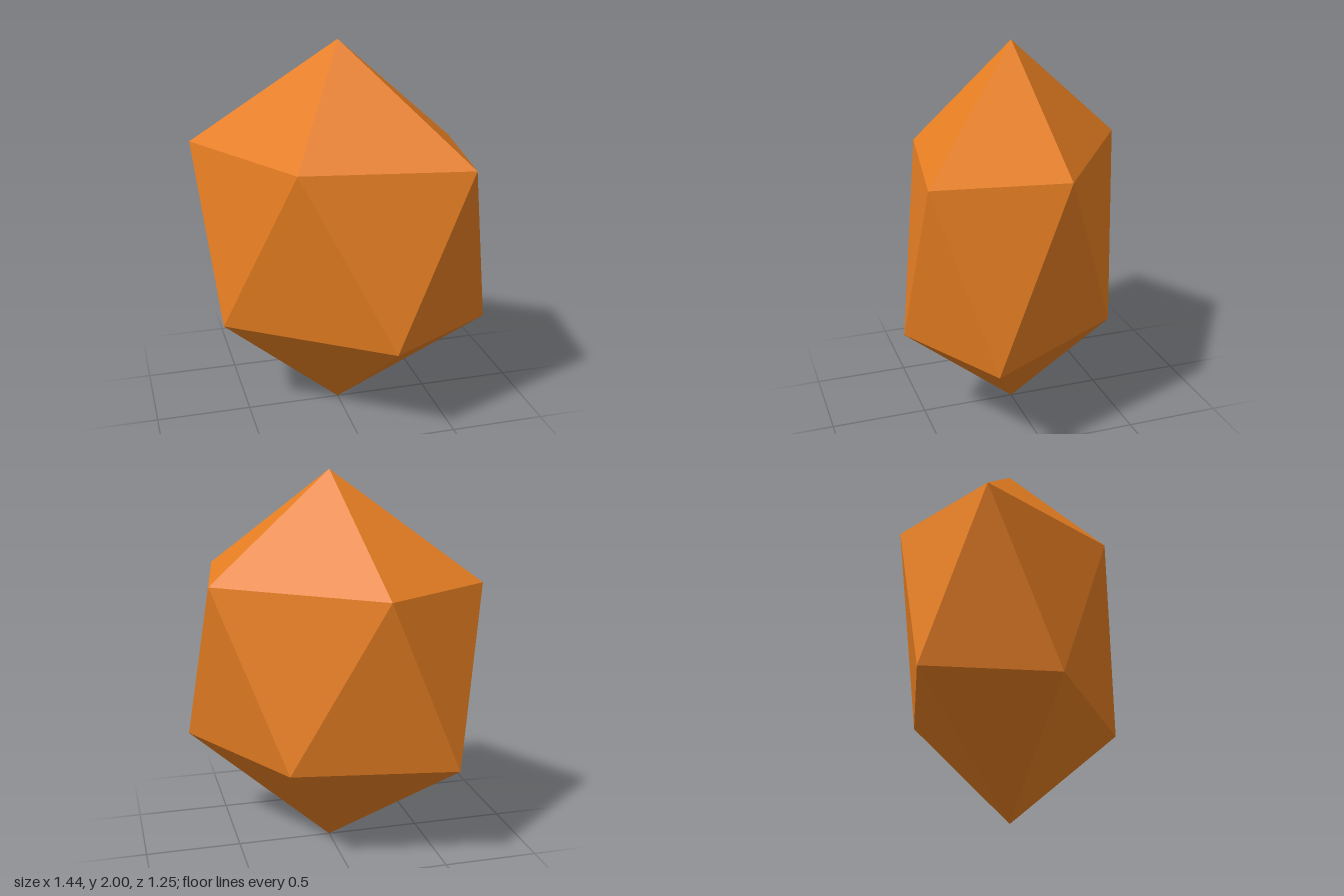
import * as THREE from 'three';

// Stretched, skewed icosahedral crystal: two apexes and two opposed five-point rings.
export function createModel() {
  const group = new THREE.Group();
  group.name = 'crystal';
  const orange = new THREE.MeshStandardMaterial({ color: 0xe67e22 });
  orange.name = 'orange';

  // Ring corners as (x, z), running clockwise seen from above
  const ring = [[-0.14, -0.625], [0.633, -0.083], [0.528, 0.573], [-0.308, 0.435], [-0.718, -0.304]];
  const top = [0, 2, 0];
  const bottom = [0, 0.005, 0];
  const upper = (i) => [ring[i % 5][0], 1.45, ring[i % 5][1]];
  // The lower ring is the upper one mirrored through the centre
  const lower = (i) => {
    const [x, z] = ring[(i + 3) % 5];
    return [-x, 0.555, -z];
  };

  const positions = [];
  const face = (...corners) => corners.forEach((c) => positions.push(...c));
  for (let i = 0; i < 5; i++) {
    face(top, upper(i + 1), upper(i)); // crown
    face(upper(i + 1), lower(i), upper(i)); // belt, pointing down
    face(upper(i + 1), lower(i + 1), lower(i)); // belt, pointing up
    face(bottom, lower(i), lower(i + 1)); // base
  }

  // Unshared corners give each facet its own flat normal
  const geometry = new THREE.BufferGeometry();
  geometry.setAttribute('position', new THREE.Float32BufferAttribute(positions, 3));
  geometry.computeVertexNormals();

  const body = new THREE.Mesh(geometry, orange);
  body.name = 'crystalBody';
  group.add(body);
  return group;
}
